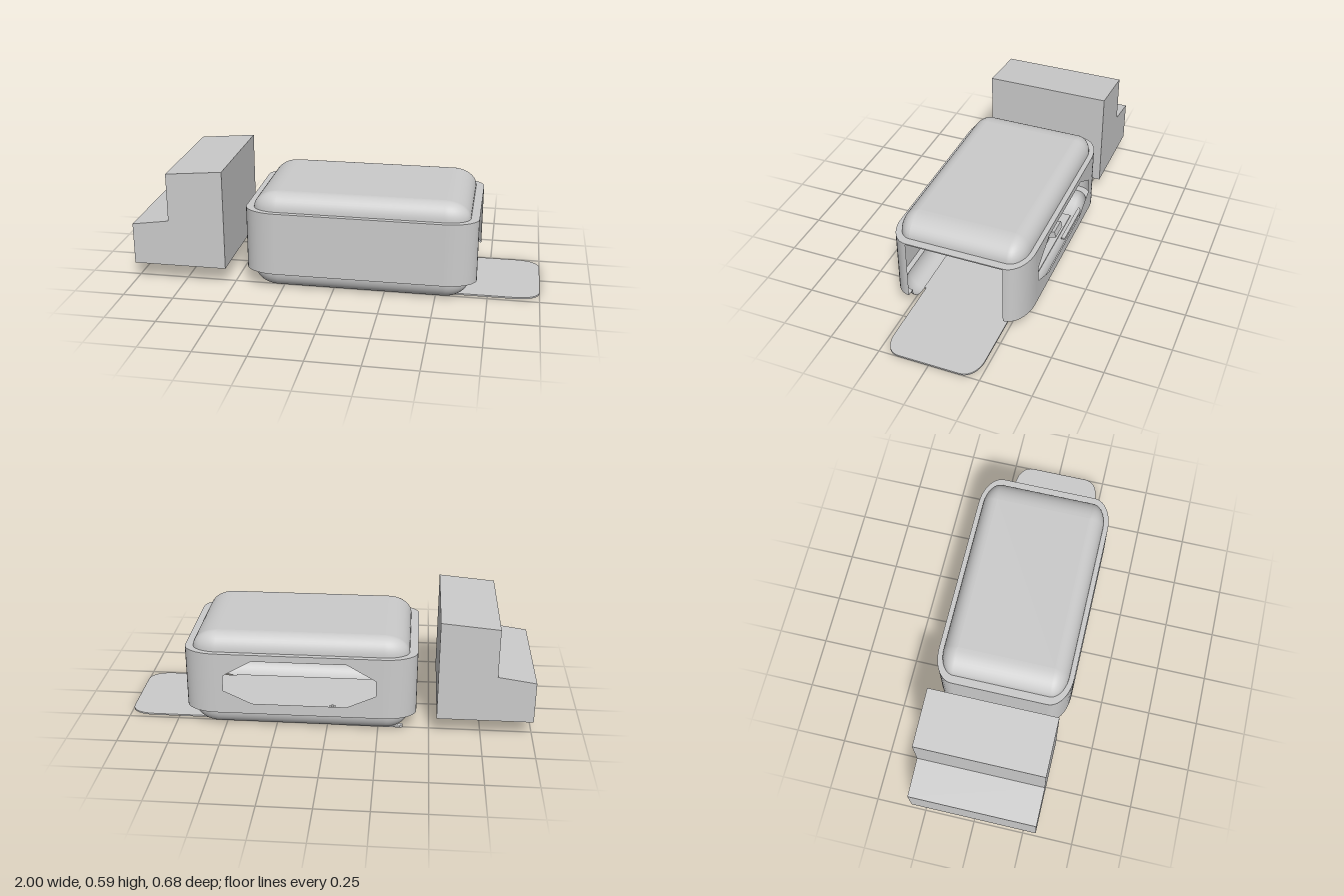
import * as THREE from 'three';

const MID = 0.13, CORE_X = 0.406, CORE_Z = 0.24, STRETCH = 1.6;
const grey = new THREE.MeshStandardMaterial({ color: 0xcccccc, side: THREE.DoubleSide });

// Outline of the pod at offset r from its core rectangle, for a run of corners
function outline(r, corners, closed) {
  const pts = [];
  const sx = [1, -1, -1, 1], sz = [1, 1, -1, -1];
  for (const c of corners) {
    for (let i = 0; i <= 10; i++) {
      const a = (c + i / 10) * Math.PI / 2;
      pts.push([MID + sx[c] * CORE_X + STRETCH * r * Math.cos(a), sz[c] * CORE_Z + r * Math.sin(a)]);
    }
  }
  if (closed) pts.push(pts[0]);
  return pts;
}

// Skin through outlines given as a profile of [offset, height]
function skin(profile, corners = [0, 1, 2, 3], closed = false) {
  const pos = [], idx = [];
  let n = 0;
  for (const [r, y] of profile) {
    const pts = outline(r, corners, closed);
    n = pts.length;
    for (const [x, z] of pts) pos.push(x, y, z);
  }
  for (let j = 0; j < profile.length - 1; j++) {
    for (let i = 0; i < n - 1; i++) {
      const a = j * n + i, b = a + n;
      idx.push(a, b, a + 1, a + 1, b, b + 1);
    }
  }
  const g = new THREE.BufferGeometry();
  g.setAttribute('position', new THREE.Float32BufferAttribute(pos, 3));
  g.setIndex(idx);
  g.computeVertexNormals();
  return g;
}

// Quarter-round profile between offset 0 and 0.075
function roundProfile(base, height) {
  const p = [];
  for (let i = 0; i <= 10; i++) {
    const t = i / 10 * Math.PI / 2;
    p.push([0.075 * Math.cos(t), base + height * Math.sin(t)]);
  }
  return p;
}

export function createModel() {
  const model = new THREE.Group();
  const add = (name, geometry, x = 0, y = 0, z = 0, parent = model) => {
    const m = new THREE.Mesh(geometry, grey);
    m.name = name;
    m.position.set(x, y, z);
    parent.add(m);
    return m;
  };

  // Domed roof
  add('roof', skin(roundProfile(0.405, 0.086), undefined, true));
  add('roofTop', new THREE.PlaneGeometry(2 * CORE_X, 2 * CORE_Z).rotateX(-Math.PI / 2), MID, 0.491, 0);

  // Wall band, open at the +x end
  add('wallBand', skin([[0.1, 0.09], [0.1, 0.405]], [0, 1, 2]));
  add('wallCorner', skin([[0.1, 0.09], [0.1, 0.405]], [3]));
  add('upperRim', skin([[0.1, 0.405], [0.074, 0.405]], undefined, true));
  add('upperRimEdge', skin([[0.1, 0.399], [0.1, 0.405]], undefined, true));
  add('lowerRim', skin([[0.074, 0.09], [0.1, 0.09]]));

  // Back wall with an eight-sided window
  const wall = new THREE.Shape([
    [-CORE_X, 0.09], [CORE_X, 0.09], [CORE_X, 0.405], [-CORE_X, 0.405],
  ].map(([x, y]) => new THREE.Vector2(x, y)));
  wall.holes.push(new THREE.Path([
    [-0.37, 0.21], [-0.37, 0.29], [-0.23, 0.372], [0.23, 0.372],
    [0.37, 0.29], [0.37, 0.21], [0.23, 0.145], [-0.23, 0.145],
  ].map(([x, y]) => new THREE.Vector2(x, y))));
  add('windowWall', new THREE.ShapeGeometry(wall).rotateY(Math.PI), MID, 0, -CORE_Z - 0.1);

  // Rounded lower tray, open at the +x end
  add('tray', skin(roundProfile(0.09, -0.088).reverse()));

  // Floor running out into the ramp
  const w = 0.23, x0 = MID - CORE_X;
  const floor = new THREE.Shape();
  floor.moveTo(x0, -CORE_Z);
  floor.lineTo(MID + CORE_X, -CORE_Z);
  floor.lineTo(MID + CORE_X, -w);
  floor.lineTo(0.88, -w);
  floor.bezierCurveTo(0.95, -w, 1, -0.2, 1, -0.15);
  floor.lineTo(1, 0.15);
  floor.bezierCurveTo(1, 0.2, 0.95, w, 0.88, w);
  floor.lineTo(MID + CORE_X, w);
  floor.lineTo(MID + CORE_X, CORE_Z);
  floor.lineTo(x0, CORE_Z);
  floor.closePath();
  add('floorAndRamp', new THREE.ExtrudeGeometry(floor, { depth: 0.008, bevelEnabled: false, curveSegments: 10 })
    .rotateX(-Math.PI / 2));

  // Small latch inside the tray and its rod along the back edge
  const latch = new THREE.Group();
  latch.name = 'latch';
  model.add(latch);
  add('latchPost', new THREE.BoxGeometry(0.03, 0.06, 0.022), -0.02, 0.04, -0.193, latch);
  add('latchPin', new THREE.CylinderGeometry(0.008, 0.008, 0.01, 12), -0.02, 0.073, -0.2, latch);
  add('latchBracket', new THREE.BoxGeometry(0.1, 0.035, 0.04), -0.08, 0.052, -0.22, latch).rotation.x = 0.25;
  add('latchRod', new THREE.BoxGeometry(0.3, 0.008, 0.02), -0.21, 0.018, -0.272, latch);
  add('latchKnob', new THREE.CylinderGeometry(0.012, 0.012, 0.012, 12), -0.36, 0.016, -0.262, latch);

  // Stepped block standing apart
  const step = new THREE.Shape([
    [-1, 0.09], [-0.535, 0.09], [-0.535, 0.593], [-0.815, 0.568], [-0.815, 0.325], [-1, 0.298],
  ].map(([x, y]) => new THREE.Vector2(x, y)));
  add('steppedBlock', new THREE.ExtrudeGeometry(step, { depth: 0.63, bevelEnabled: false }), 0, 0, -0.315);

  return model;
}
